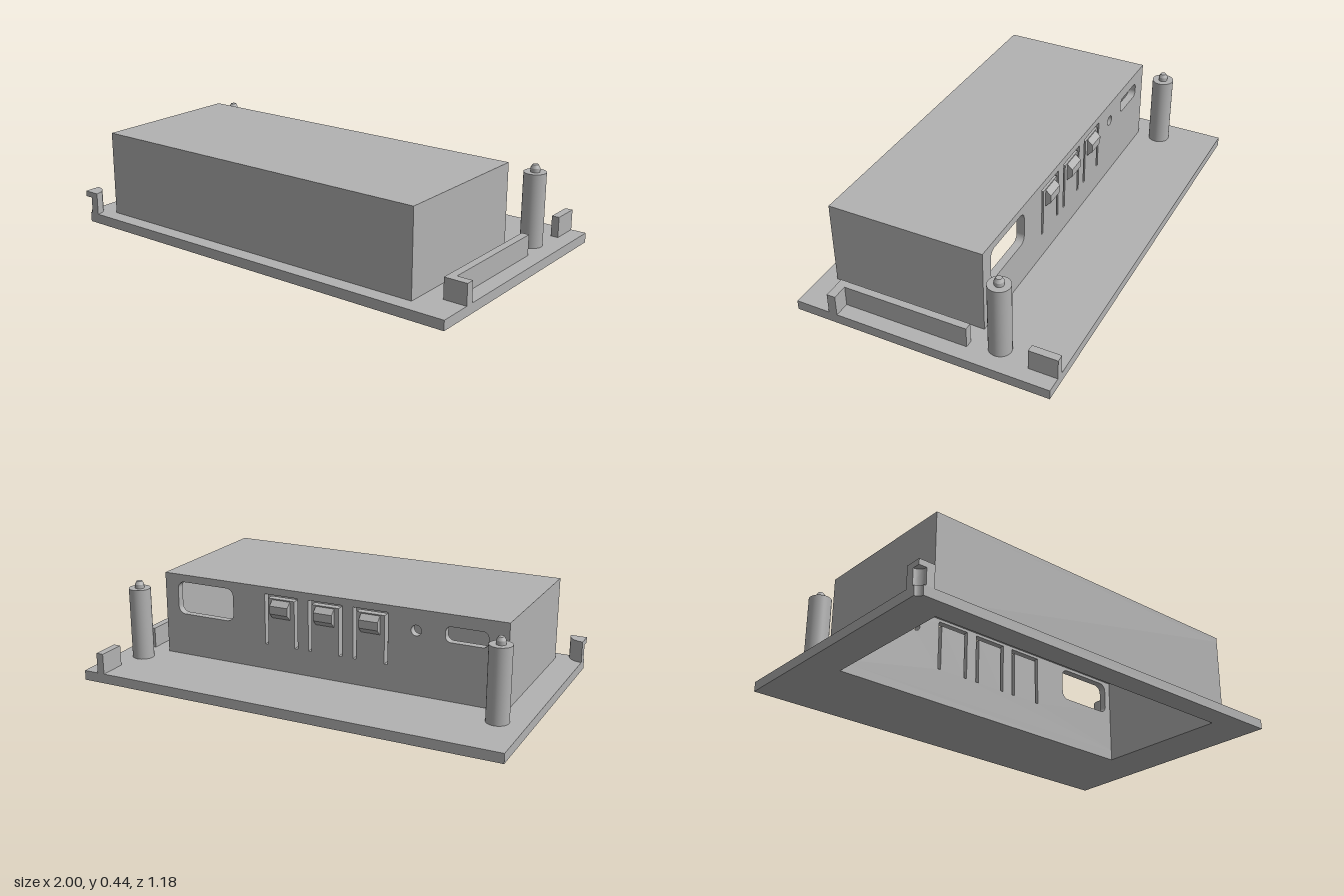
import * as THREE from 'three';

export function createModel() {
  const model = new THREE.Group();
  const grey = new THREE.MeshStandardMaterial({ color: 0xb2b2b2 });

  const add = (name, geometry) => {
    const mesh = new THREE.Mesh(geometry, grey);
    mesh.name = name;
    model.add(mesh);
    return mesh;
  };
  // Box given by its limits on each axis
  const block = (name, x0, x1, y0, y1, z0, z1) =>
    add(name, new THREE.BoxGeometry(x1 - x0, y1 - y0, z1 - z0)
      .translate((x0 + x1) / 2, (y0 + y1) / 2, (z0 + z1) / 2));
  // Plan outline (shape y = -z) raised from y0 to y1
  const raise = (name, shape, y0, y1) =>
    add(name, new THREE.ExtrudeGeometry(shape, { depth: y1 - y0, bevelEnabled: false, curveSegments: 16 })
      .rotateX(-Math.PI / 2).translate(0, y0, 0));
  const polygon = (points, Type = THREE.Path) => new Type(points.map(([x, y]) => new THREE.Vector2(x, y)));
  const rectangle = (x0, x1, y0, y1, Type) => polygon([[x0, y0], [x1, y0], [x1, y1], [x0, y1]], Type);
  const roundedHole = (x0, x1, y0, y1, r) => {
    const p = new THREE.Path();
    p.absarc(x1 - r, y1 - r, r, 0, Math.PI / 2);
    p.absarc(x0 + r, y1 - r, r, Math.PI / 2, Math.PI);
    p.absarc(x0 + r, y0 + r, r, Math.PI, Math.PI * 1.5);
    p.absarc(x1 - r, y0 + r, r, Math.PI * 1.5, Math.PI * 2);
    p.closePath();
    return p;
  };

  const W = 1, D = 0.59, base = 0.045;
  const box = { x0: -0.875, x1: 0.805, z0: -0.2, z1: 0.52, top: 0.435 };
  const wall = 0.036, ceiling = 0.415;
  const inner = { x0: box.x0 + wall, x1: box.x1 - wall, z0: box.z0 + wall, z1: box.z1 - wall };

  // Base plate: large opening under the housing and a small scooped corner
  const plate = new THREE.Shape();
  plate.moveTo(W, -D);
  plate.lineTo(W, D);
  plate.lineTo(-W, D);
  plate.lineTo(-W, -D + 0.025);
  plate.absarc(-W, -D, 0.025, Math.PI / 2, 0, true);
  plate.closePath();
  plate.holes.push(rectangle(inner.x0, inner.x1, -inner.z1, -inner.z0));
  raise('basePlate', plate, 0, base);

  // Hollow housing: lid, front and side walls
  block('housingLid', box.x0, box.x1, ceiling, box.top, box.z0, box.z1);
  block('housingFrontWall', box.x0, box.x1, base, ceiling, inner.z1, box.z1);
  block('housingRightWall', box.x0, inner.x0, base, ceiling, inner.z0, inner.z1);
  block('housingLeftWall', inner.x1, box.x1, base, ceiling, inner.z0, inner.z1);

  // Back wall with ports and U-shaped slots that free the latch tongues
  const latchX = [-0.25, -0.03, 0.19];
  const back = rectangle(box.x0, box.x1, base, ceiling, THREE.Shape);
  back.holes.push(roundedHole(0.44, 0.737, 0.245, 0.4, 0.035));
  back.holes.push(roundedHole(-0.488, -0.44, 0.316, 0.364, 0.0239));
  back.holes.push(roundedHole(-0.786, -0.596, 0.31, 0.38, 0.025));
  for (const x of latchX) {
    const o = 0.083, i = 0.067;
    back.holes.push(polygon([
      [x - o, 0.165], [x - i, 0.165], [x - i, 0.385], [x + i, 0.385],
      [x + i, 0.165], [x + o, 0.165], [x + o, 0.402], [x - o, 0.402],
    ]));
  }
  add('housingBackWall', new THREE.ExtrudeGeometry(back, { depth: wall, bevelEnabled: false, curveSegments: 10 })
    .translate(0, 0, box.z0));

  // Latch bumps, profile in (outward, up) swept along x
  const bump = polygon([[0, 0.295], [0.025, 0.32], [0.025, 0.357], [0, 0.38]], THREE.Shape);
  for (const x of latchX) {
    add('latchBump', new THREE.ExtrudeGeometry(bump, { depth: 0.09, bevelEnabled: false })
      .rotateY(Math.PI / 2).translate(x - 0.045, 0, 0))
      .position.z = box.z0;
  }

  // Standoff posts with a chamfered locating pin
  for (const x of [-0.875, 0.875]) {
    const post = new THREE.CylinderGeometry(0.05, 0.05, 0.38 - base, 32).translate(x, (0.38 + base) / 2, -0.31);
    add('standoffPost', post);
    add('postPin', new THREE.CylinderGeometry(0.021, 0.021, 0.018, 24).translate(x, 0.389, -0.31));
    add('postPinTip', new THREE.CylinderGeometry(0.013, 0.021, 0.015, 24).translate(x, 0.4055, -0.31));
  }

  // Side ribs: an L-shaped one and a short one behind it
  const ribL = polygon([[0.893, 0.185], [0.893, -0.43], [W, -0.43], [W, -0.39], [0.928, -0.39], [0.928, 0.185]], THREE.Shape);
  raise('sideRib', ribL, base, 0.14);
  block('rearRib', 0.893, 0.928, base, 0.14, -D, -0.46);

  // Corner post: quarter-round sleeve closed by a cap
  const corner = (r) => {
    const s = new THREE.Shape();
    s.moveTo(-W + 0.075, -D);
    s.absarc(-W, -D, 0.075, 0, Math.PI / 2);
    if (r) {
      s.lineTo(-W, -D + r);
      s.absarc(-W, -D, r, Math.PI / 2, 0, true);
    } else {
      s.lineTo(-W, -D);
    }
    s.closePath();
    return s;
  };
  raise('cornerSleeve', corner(0.036), base, 0.12);
  raise('cornerCap', corner(0), 0.12, 0.146);

  return model;
}
